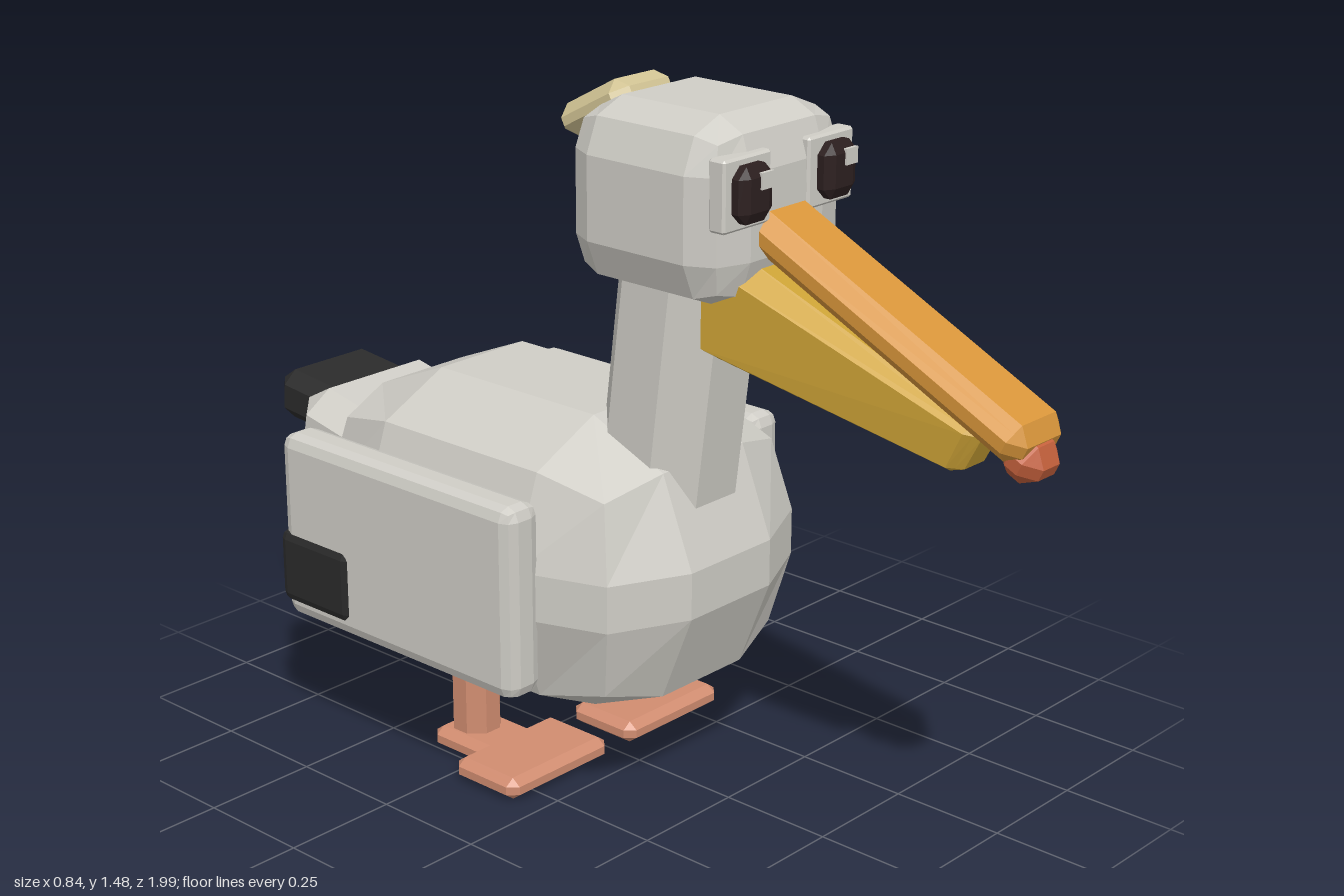
import * as THREE from 'three';

const colour = (name, hex) => {
  const m = new THREE.MeshStandardMaterial({ color: hex });
  m.name = name;
  return m;
};

// Box with bevelled edges: a 3x3x3 grid whose outer cells form the bevel.
// bevel = [x, y, z] widths; round bulges the bevel, otherwise it is a flat chamfer.
function bevelBox(size, bevel, round = false, warp = null) {
  const geo = new THREE.BoxGeometry(1, 1, 1, 3, 3, 3);
  const pull = round ? [0, 0, 0.29, 0.42] : [0, 0, 0.5, 0.667];
  const pos = geo.attributes.position;
  const v = new THREE.Vector3();
  for (let i = 0; i < pos.count; i++) {
    v.fromBufferAttribute(pos, i);
    const p = v.toArray();
    const outer = p.filter((c) => Math.abs(c) > 0.4).length;
    const q = p.map((c, a) => {
      const inset = Math.abs(c) > 0.4 ? pull[outer] : 1;
      return Math.sign(c) * (size[a] / 2 - bevel[a] * inset);
    });
    v.fromArray(q);
    if (warp) warp(v);
    pos.setXYZ(i, v.x, v.y, v.z);
  }
  const flat = geo.toNonIndexed();
  flat.computeVertexNormals();
  return flat;
}

export function createModel() {
  const plumage = colour('plumage', 0xcfcdc6);
  const black = colour('black feathers', 0x2b2b2b);
  const eyeDark = colour('eye dark', 0x2c1f1f);
  const orange = colour('beak orange', 0xd8953a);
  const yellow = colour('pouch yellow', 0xcca236);
  const red = colour('beak tip red', 0xc4603c);
  const skin = colour('leg pink', 0xd08c70);
  const tan = colour('crest tan', 0xd2c494);

  const model = new THREE.Group();
  model.name = 'waterBird';
  const add = (name, mat, geo, x, y, z, tilt = 0) => {
    const mesh = new THREE.Mesh(geo, mat);
    mesh.name = name;
    mesh.position.set(x, y, z);
    mesh.rotation.x = tilt;
    model.add(mesh);
    return mesh;
  };

  // Body, neck and head
  add('body', plumage, bevelBox([0.7, 0.64, 0.97], [0.23, 0.27, 0.265], true), 0, 0.49, -0.235);
  add('neck', plumage, bevelBox([0.26, 0.58, 0.26], [0.07, 0.01, 0.07]), 0, 0.91, 0.108, 0.125);
  add('head', plumage, bevelBox([0.41, 0.37, 0.405], [0.1, 0.1, 0.08], true), 0, 1.285, 0.174);
  add('crest', tan, bevelBox([0.172, 0.068, 0.205], [0.03, 0.025, 0.03]), 0, 1.418, -0.062, -0.49);

  // Beak, its tip and the hanging pouch
  add('upperBeak', orange, bevelBox([0.164, 0.085, 0.745], [0.03, 0.03, 0.03]), 0, 1.117, 0.635, 0.45);
  add('beakTip', red, bevelBox([0.11, 0.085, 0.09], [0.03, 0.03, 0.03]), 0, 0.93, 0.948, 0.45);
  const lerp = THREE.MathUtils.lerp;
  const pouchTaper = (v) => {
    const t = v.z + 0.5;
    const top = lerp(1.23, 0.965, t);
    const bottom = lerp(0.985, 0.87, t);
    v.x *= lerp(0.26, 0.11, t);
    v.z = lerp(0.25, 0.845 + v.y * 0.05, t);
    v.y = lerp(bottom, top, v.y + 0.5);
  };
  add('pouch', yellow, bevelBox([1, 1, 1], [0.22, 0.14, 0.04], false, pouchTaper), 0, 0, 0);

  // Tail
  add('tail', plumage, bevelBox([0.39, 0.165, 0.25], [0.06, 0.05, 0.06]), 0, 0.592, -0.755, 0.2);
  add('tailTip', black, bevelBox([0.26, 0.115, 0.2], [0.03, 0.03, 0.035]), 0, 0.622, -0.898, 0.1);

  for (const s of [-1, 1]) {
    const side = s > 0 ? 'left' : 'right';
    // Wing with dark rear corner
    add(side + 'Wing', plumage, bevelBox([0.092, 0.41, 0.68], [0.028, 0.028, 0.028], true), s * 0.366, 0.49, -0.307);
    add(side + 'WingTip', black, bevelBox([0.1, 0.162, 0.215], [0.02, 0.02, 0.02], true), s * 0.368, 0.397, -0.547);

    // Leg and foot with a broad front and narrow heel
    add(side + 'Leg', skin, bevelBox([0.1, 0.22, 0.1], [0.03, 0.005, 0.03]), s * 0.178, 0.13, -0.311);
    add(side + 'FootFront', skin, bevelBox([0.295, 0.048, 0.18], [0.02, 0.015, 0.02]), s * 0.178, 0.024, -0.145);
    add(side + 'FootHeel', skin, bevelBox([0.15, 0.048, 0.2], [0.02, 0.015, 0.02]), s * 0.178, 0.024, -0.277);

    // Eye patch, eye and glint
    add(side + 'EyePatch', plumage, bevelBox([0.135, 0.14, 0.04], [0.005, 0.005, 0.005]), s * 0.122, 1.34, 0.362);
    add(side + 'Eye', eyeDark, bevelBox([0.096, 0.11, 0.04], [0.022, 0.022, 0.012]), s * 0.124, 1.341, 0.393);
    add(side + 'EyeGlint', plumage, new THREE.BoxGeometry(0.034, 0.032, 0.008), s * 0.124 + 0.018, 1.366, 0.413);
  }
  return model;
}
